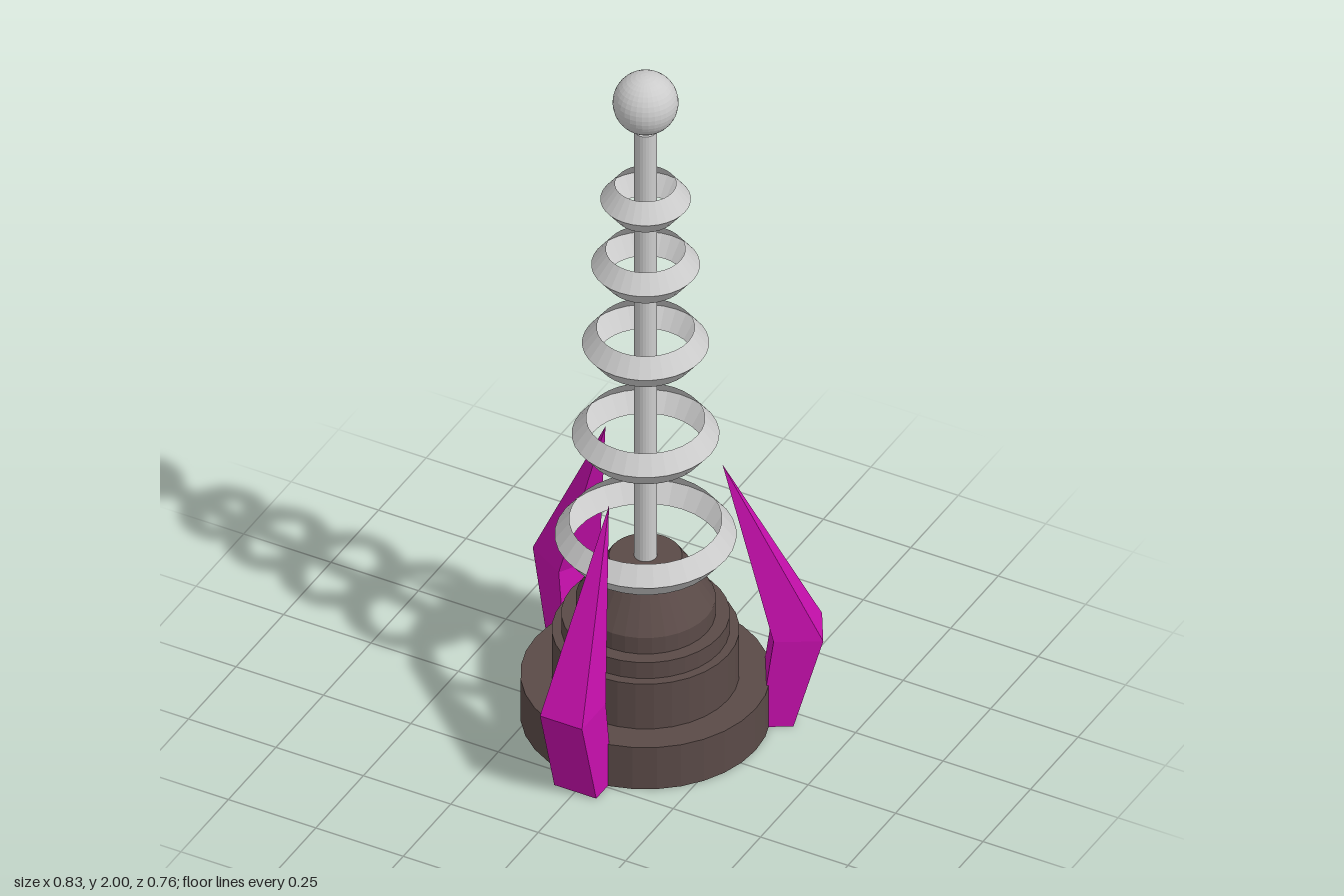
import * as THREE from 'three';

const CENTER_Z = -0.065;

const material = (color, side = THREE.FrontSide) =>
  new THREE.MeshStandardMaterial({ color, flatShading: true, side });
const profile = (points) => points.map(([r, y]) => new THREE.Vector2(r, y));

function addMesh(parent, name, geometry, mat) {
  const mesh = new THREE.Mesh(geometry, mat);
  mesh.name = name;
  parent.add(mesh);
  return mesh;
}

// Bent claw: a box whose levels become foot, knee and pointed tip
function clawGeometry() {
  const levels = [
    { y: 0, inner: 0.285, outer: 0.37, half: 0.06 },
    { y: 0.265, inner: 0.32, outer: 0.445, half: 0.06 },
    { y: 0.78, inner: 0.193, outer: 0.193, half: 0 },
  ];
  const geometry = new THREE.BoxGeometry(2, 2, 2, 1, 2, 1);
  const pos = geometry.attributes.position;
  for (let i = 0; i < pos.count; i++) {
    const level = levels[Math.round(pos.getY(i)) + 1];
    const z = pos.getZ(i) > 0 ? level.outer : level.inner;
    pos.setXYZ(i, Math.sign(pos.getX(i)) * level.half, level.y, z);
  }
  geometry.computeVertexNormals();
  return geometry;
}

export function createModel() {
  const model = new THREE.Group();
  model.name = 'coilTower';
  const tower = new THREE.Group();
  tower.name = 'tower';
  tower.position.z = CENTER_Z;
  model.add(tower);

  const grey = material(0xcccccc);
  const greyShell = material(0xcccccc, THREE.DoubleSide);
  const brown = material(0x5a4a47, THREE.DoubleSide);
  const purple = material(0xc80fae);

  // Stepped base, hollow and open underneath
  addMesh(tower, 'base', new THREE.LatheGeometry(profile([
    [0.315, 0], [0.315, 0.13], [0.236, 0.13], [0.236, 0.27], [0.212, 0.27],
    [0.212, 0.32], [0.176, 0.32], [0.176, 0.37], [0.092, 0.5], [0, 0.5],
  ]), 32), brown);

  // Central pole with a ball floating above it
  const pole = addMesh(tower, 'pole', new THREE.CylinderGeometry(0.029, 0.029, 1.72, 24), grey);
  pole.position.y = 0.97;
  const ball = addMesh(tower, 'ball', new THREE.SphereGeometry(0.083, 32, 20), grey);
  ball.position.y = 1.917;

  // Floating rings, thin V-shaped bands that shrink upwards
  const rings = [[0.565, 0.229], [0.88, 0.186], [1.165, 0.16], [1.41, 0.137], [1.615, 0.114]];
  rings.forEach(([y, r], i) => {
    const band = profile([[r - 0.037, -0.048], [r, 0], [r - 0.037, 0.048]]);
    const ring = addMesh(tower, `ring${i + 1}`, new THREE.LatheGeometry(band, 32), greyShell);
    ring.position.y = y;
  });

  // Three claws around the base
  const claw = clawGeometry();
  ['frontClaw', 'leftClaw', 'rightClaw'].forEach((name, i) => {
    addMesh(tower, name, claw, purple).rotation.y = (i * Math.PI * 2) / 3;
  });

  return model;
}
